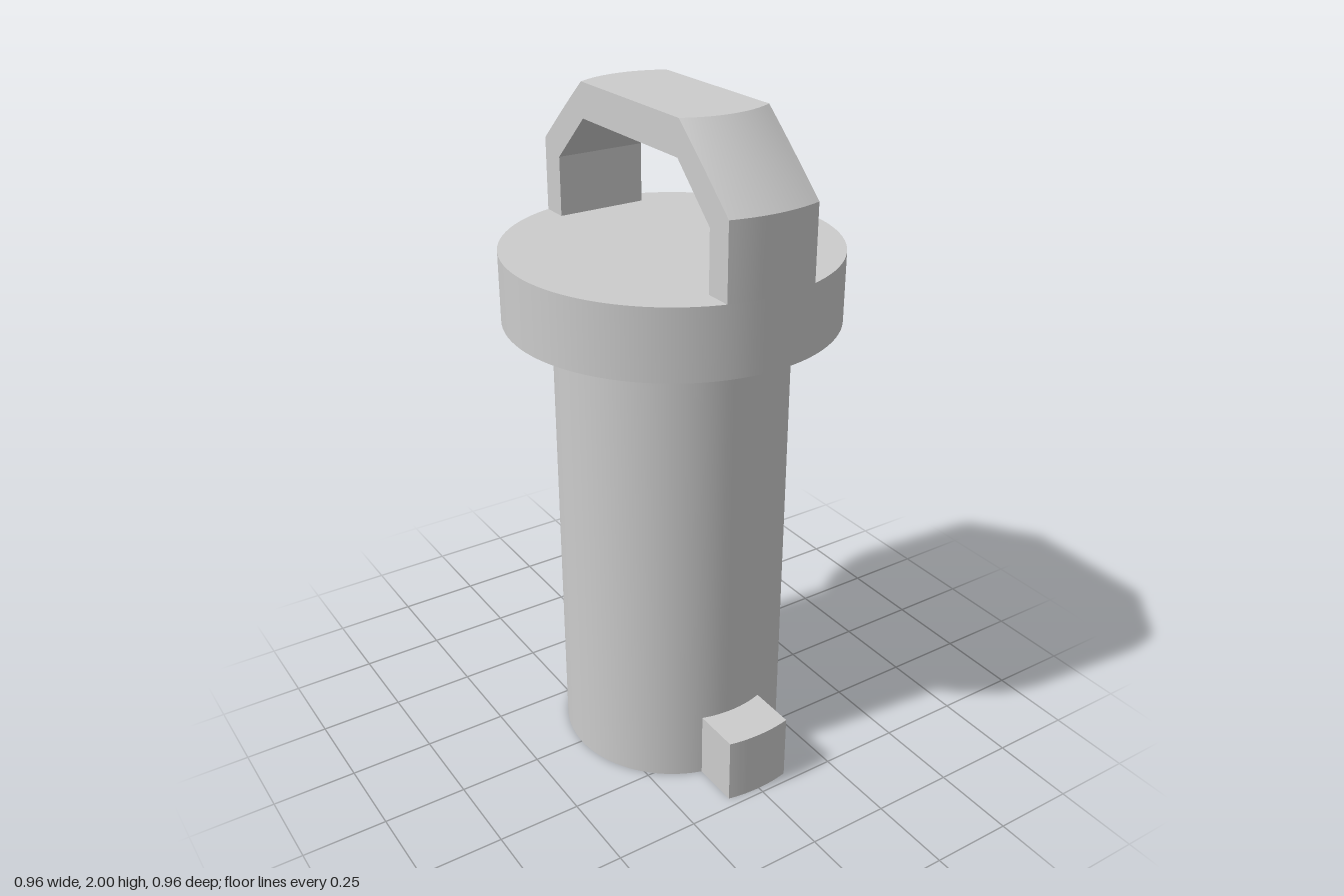
import * as THREE from 'three';
import { toCreasedNormals } from 'three/addons/utils/BufferGeometryUtils.js';

const BODY_R = 0.34, COLLAR_R = 0.48, COLLAR_Y = 1.38, COLLAR_TOP = 1.585;
const HANDLE_W = 0.275, HANDLE_TOP_R = 0.277, LUG_W = 0.205, LUG_H = 0.205;

const material = new THREE.MeshStandardMaterial({ color: 0xcccccc });

function addPart(group, name, geometry) {
  const mesh = new THREE.Mesh(geometry, material);
  mesh.name = name;
  group.add(mesh);
  return mesh;
}

function disc(radius, y0, y1) {
  return new THREE.CylinderGeometry(radius, radius, y1 - y0, 96).translate(0, (y0 + y1) / 2, 0);
}

// Angular arch: flat inside, outside trimmed to a cylinder and a cone
function handleGeometry() {
  const half = [[COLLAR_R, COLLAR_TOP], [COLLAR_R, 1.8]];
  for (let i = 1; i <= 4; i++) {
    half.push([THREE.MathUtils.lerp(COLLAR_R, HANDLE_TOP_R, i / 4), 1.8 + 0.05 * i]);
  }
  const inner = [[0.38, COLLAR_TOP], [0.38, 1.76], [0.235, 1.9]];
  const mirror = (pts) => pts.map(([z, y]) => [-z, y]).reverse();
  const outline = [...half, ...mirror(half), ...mirror(inner).reverse(), ...inner.slice().reverse()];
  const shape = new THREE.Shape(outline.map(([z, y]) => new THREE.Vector2(z, y)));
  const geometry = new THREE.ExtrudeGeometry(shape, { depth: HANDLE_W, steps: 16, bevelEnabled: false });
  geometry.translate(0, 0, -HANDLE_W / 2).rotateY(Math.PI / 2);

  // Wrap the outer vertices around the vertical axis
  const p = geometry.attributes.position;
  for (let i = 0; i < p.count; i++) {
    const x = p.getX(i), y = p.getY(i), z = p.getZ(i), r = Math.abs(z);
    if (r > 0.4 || r + y > 2.2) p.setZ(i, Math.sign(z) * Math.sqrt(r * r - x * x));
  }
  return toCreasedNormals(geometry, 0.4);
}

// Block between the body wall and the collar radius
function lugGeometry() {
  const a = Math.asin(LUG_W / 2 / COLLAR_R), b = Math.asin(LUG_W / 2 / BODY_R);
  const mid = Math.PI / 2;
  const shape = new THREE.Shape();
  shape.absarc(0, 0, COLLAR_R, mid - a, mid + a, false);
  shape.absarc(0, 0, BODY_R, mid + b, mid - b, true);
  const geometry = new THREE.ExtrudeGeometry(shape, { depth: LUG_H, bevelEnabled: false, curveSegments: 12 });
  return toCreasedNormals(geometry.rotateX(-Math.PI / 2), 0.4);
}

export function createModel() {
  const group = new THREE.Group();
  group.name = 'lockingPlug';

  addPart(group, 'body', disc(BODY_R, 0, COLLAR_Y));
  addPart(group, 'collar', disc(COLLAR_R, COLLAR_Y, COLLAR_TOP));
  addPart(group, 'handle', handleGeometry());

  // Two opposite locking lugs at the foot
  const lug = lugGeometry();
  addPart(group, 'backLug', lug);
  addPart(group, 'frontLug', lug).rotation.y = Math.PI;

  return group;
}
